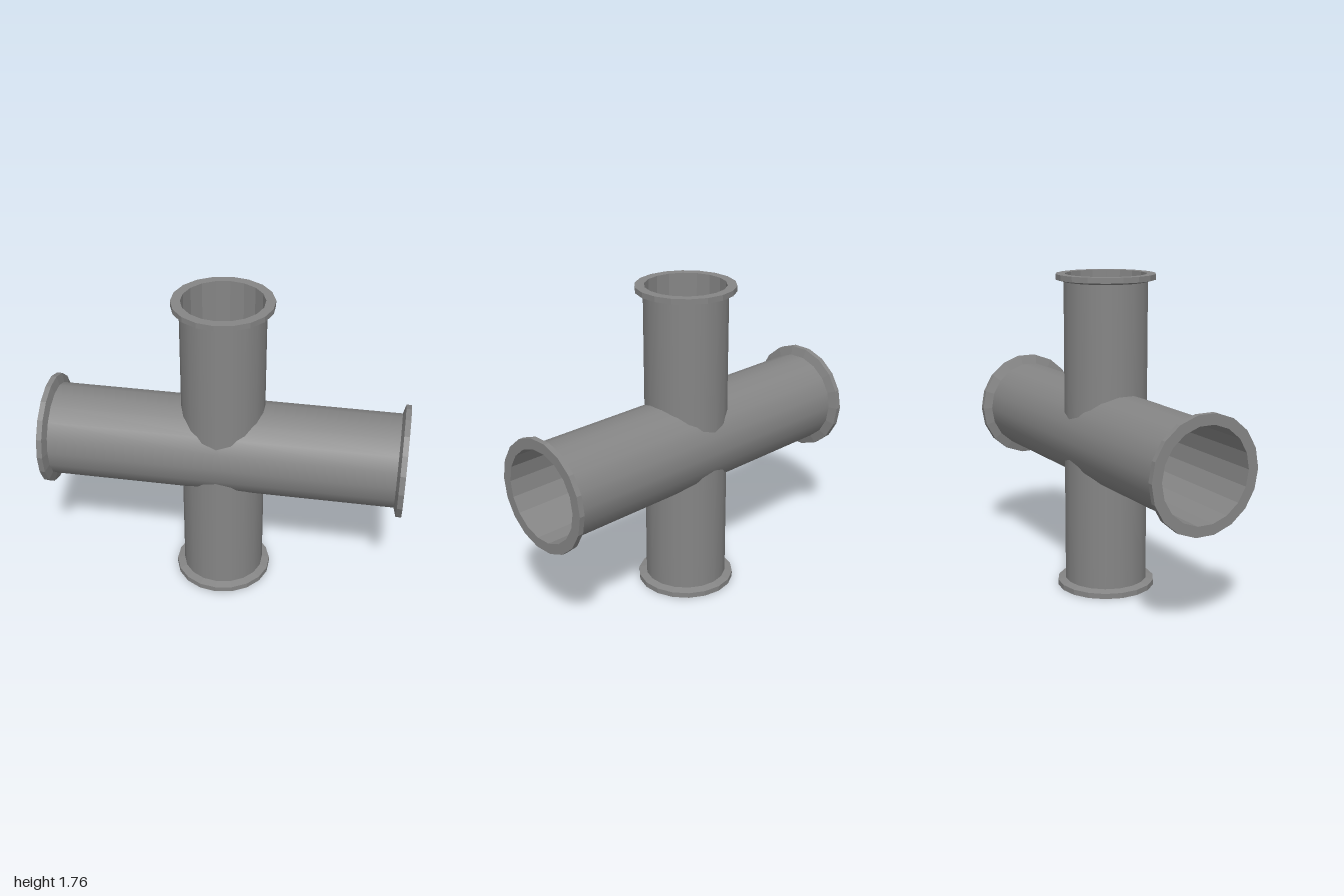
import * as THREE from 'three';

const SIDES = 18;
const CENTRE_Y = 0.88;

const smooth = new THREE.MeshStandardMaterial({ color: 0x858585 });
const faceted = new THREE.MeshStandardMaterial({ color: 0x858585, flatShading: true });

// One arm of the cross, running up +y from the centre of the fitting
function createArm(name, { length, radius, flange, bore, floor, taper }) {
  const arm = new THREE.Group();
  arm.name = name;

  // Smooth outer wall
  const wallGeometry = new THREE.CylinderGeometry(radius, radius, length - 0.03, SIDES, 1, true);
  wallGeometry.translate(0, (length - 0.03) / 2, 0);
  const wall = new THREE.Mesh(wallGeometry, smooth);
  wall.name = name + 'Wall';

  // Tapered flange, flat rim and the bore with its inner floor
  const profile = [
    [radius, length - 0.03 - taper],
    [flange, length - 0.03],
    [flange, length],
    [bore, length],
    [bore, floor],
    [0, floor],
  ].map(([x, y]) => new THREE.Vector2(x, y));
  const rim = new THREE.Mesh(new THREE.LatheGeometry(profile, SIDES), faceted);
  rim.name = name + 'FlangeAndBore';

  arm.add(wall, rim);
  return arm;
}

export function createModel() {
  const model = new THREE.Group();
  model.name = 'pipeCross';

  const wide = { length: 1, radius: 0.26, flange: 0.31, bore: 0.253, floor: 0.27, taper: 0.015 };
  const narrow = { length: 0.88, radius: 0.23, flange: 0.273, bore: 0.222, floor: 0.28, taper: 0.011 };

  // Wide horizontal run
  for (const [name, side] of [['leftArm', 1], ['rightArm', -1]]) {
    const arm = createArm(name, wide);
    arm.rotation.z = -side * Math.PI / 2;
    arm.position.y = CENTRE_Y - 0.015;
    model.add(arm);
  }

  // Narrower vertical branches, slightly off centre
  for (const [name, turn] of [['topArm', 0], ['bottomArm', Math.PI]]) {
    const arm = createArm(name, narrow);
    arm.rotation.z = turn;
    arm.position.set(-0.015, CENTRE_Y, 0);
    model.add(arm);
  }

  return model;
}
